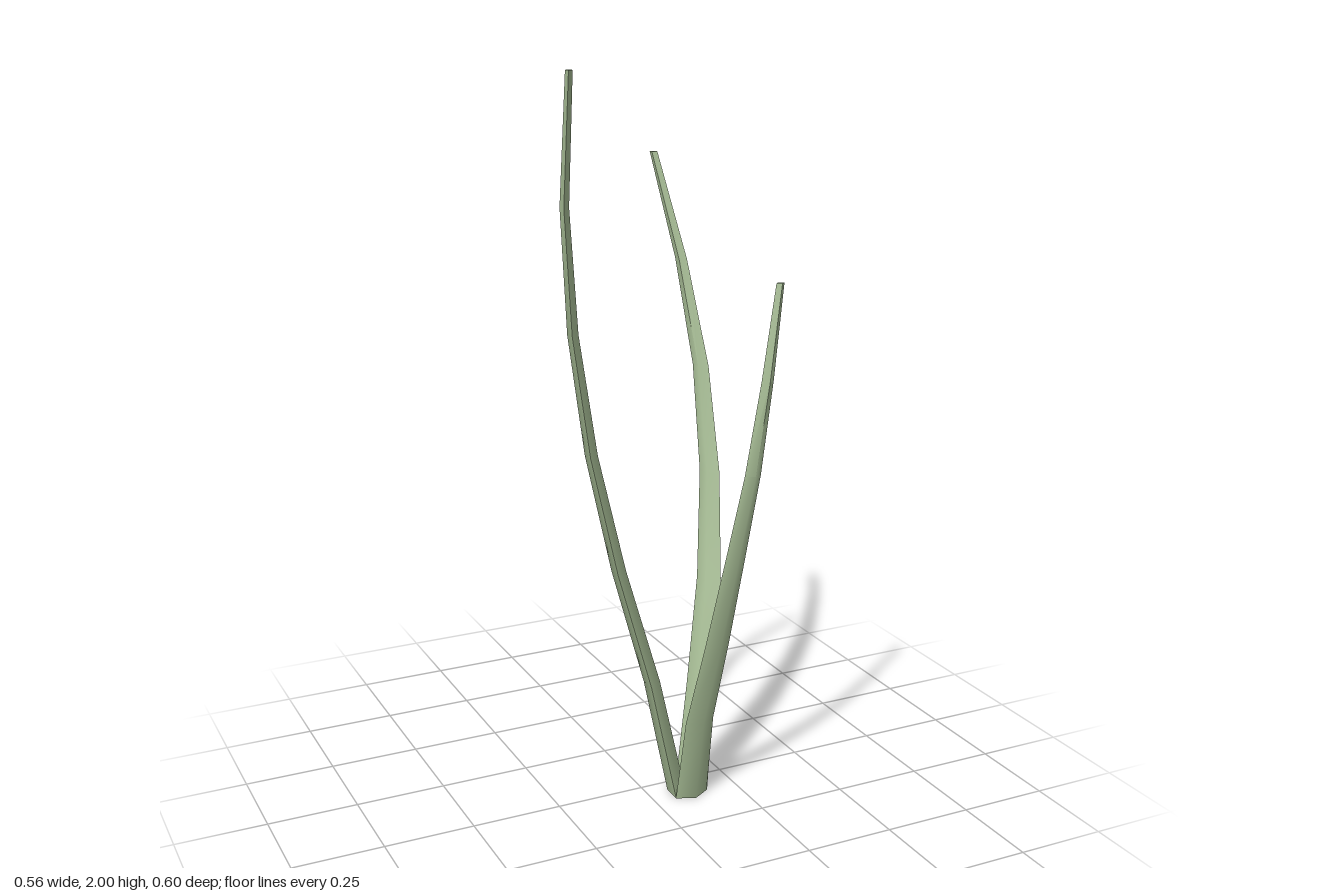
import * as THREE from 'three';
import { toCreasedNormals } from 'three/addons/utils/BufferGeometryUtils.js';

const SEGMENTS = 6;

// Each blade: height, direction of its broad axis in the x-z plane, and centreline [x, z] at even heights
const BLADES = [
  { name: 'tallBlade', height: 2.0, axis: [0.45, -0.89],
    path: [[0.083, 0.055], [0.02, 0.026], [-0.07, 0.006], [-0.148, 0.008], [-0.207, 0.033], [-0.25, 0.09], [-0.27, 0.175]] },
  { name: 'backBlade', height: 1.74, axis: [0.57, 0.82],
    path: [[0.133, 0.05], [0.175, 0.02], [0.23, -0.042], [0.263, -0.108], [0.264, -0.17], [0.234, -0.235], [0.176, -0.291]] },
  { name: 'frontBlade', height: 1.47, axis: [1, -0.07],
    path: [[0.11, 0.095], [0.111, 0.138], [0.127, 0.203], [0.148, 0.253], [0.18, 0.284], [0.215, 0.288], [0.256, 0.27]] },
];

// Four-sided diamond section swept up the centreline, tapering from root to tip
function bladeGeometry({ height, axis, path }) {
  const positions = [];
  const index = [];
  const angle = Math.atan2(axis[1], axis[0]);
  const wide = [Math.cos(angle), Math.sin(angle)];
  const thin = [-wide[1], wide[0]];

  path.forEach(([x, z], i) => {
    const t = i / SEGMENTS;
    const w = THREE.MathUtils.lerp(0.05, 0.012, t);
    const d = THREE.MathUtils.lerp(0.025, 0.009, t);
    for (const [a, b] of [[w, 0], [0, d], [-w, 0], [0, -d]]) {
      positions.push(x + wide[0] * a + thin[0] * b, height * t, z + wide[1] * a + thin[1] * b);
    }
  });

  for (let i = 0; i < SEGMENTS; i++) {
    for (let k = 0; k < 4; k++) {
      const a = i * 4 + k;
      const b = i * 4 + (k + 1) % 4;
      index.push(a, a + 4, b, b, a + 4, b + 4);
    }
  }

  // Flat caps at root and tip
  const top = SEGMENTS * 4;
  index.push(0, 1, 2, 0, 2, 3, top, top + 2, top + 1, top, top + 3, top + 2);

  const geometry = new THREE.BufferGeometry();
  geometry.setAttribute('position', new THREE.Float32BufferAttribute(positions, 3));
  geometry.setIndex(index);
  return toCreasedNormals(geometry, 1.1);
}

export function createModel() {
  const group = new THREE.Group();
  group.name = 'grassTuft';
  const material = new THREE.MeshStandardMaterial({ color: 0xa9bf97 });
  for (const blade of BLADES) {
    const mesh = new THREE.Mesh(bladeGeometry(blade), material);
    mesh.name = blade.name;
    group.add(mesh);
  }
  return group;
}
